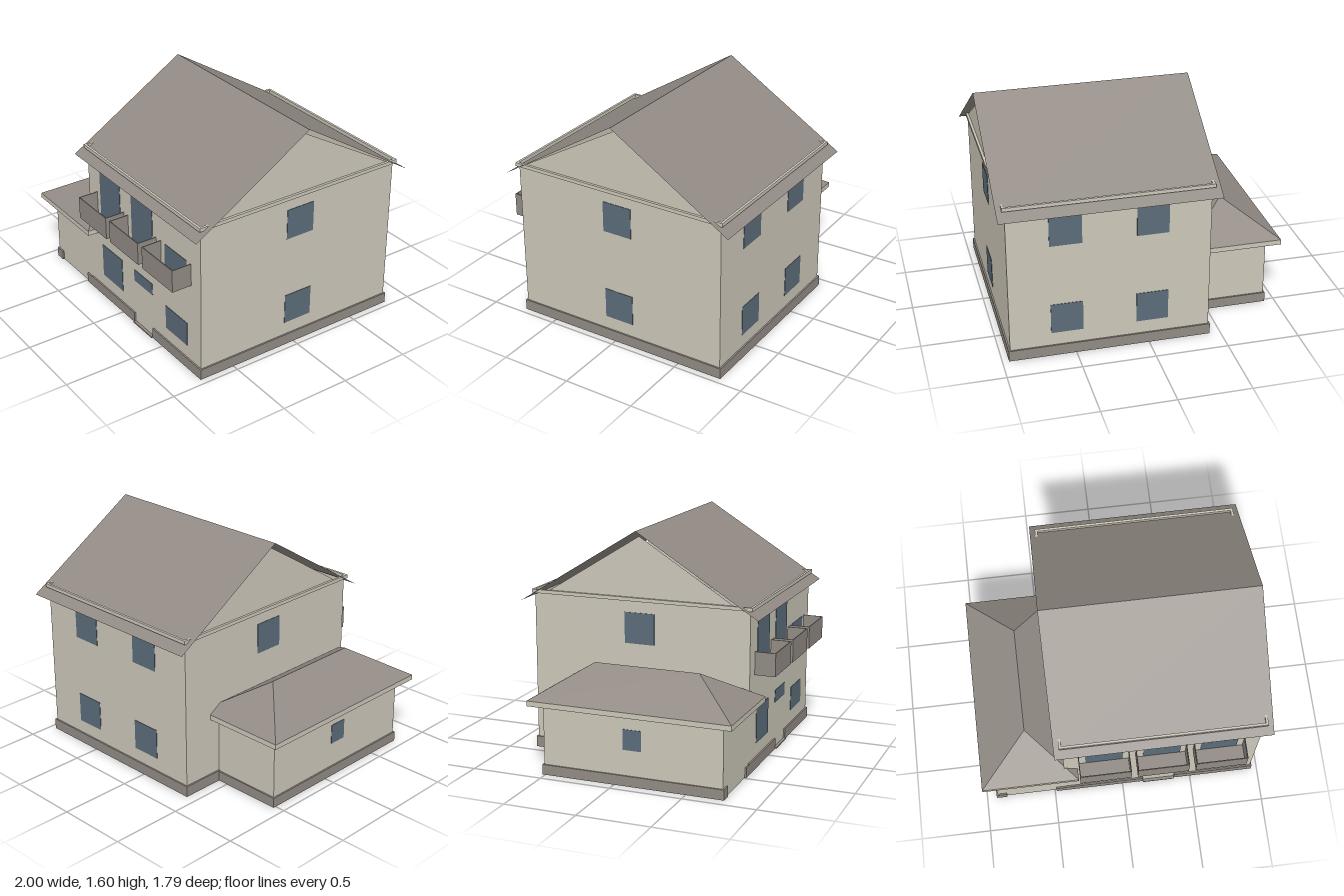
import * as THREE from 'three';

const mat = (name, color, side = THREE.FrontSide) => {
  const m = new THREE.MeshStandardMaterial({ color, side });
  m.name = name;
  return m;
};

export function createModel() {
  const house = new THREE.Group();
  house.name = 'house';
  const plaster = mat('plaster', 0xccc7b9, THREE.DoubleSide);
  const slate = mat('slate', 0x928b85, THREE.DoubleSide);
  const glass = mat('glass', 0x5b6c7a);

  const add = (name, geo, material) => {
    const mesh = new THREE.Mesh(geo, material);
    mesh.name = name;
    house.add(mesh);
    return mesh;
  };
  // Box given by its extents on each axis
  const box = (name, m, x0, x1, y0, y1, z0, z1) => {
    const g = new THREE.BoxGeometry(x1 - x0, y1 - y0, z1 - z0);
    g.translate((x0 + x1) / 2, (y0 + y1) / 2, (z0 + z1) / 2);
    return add(name, g, m);
  };
  // Flat convex polygon, fanned from its first corner
  const sheet = (name, m, pts) => {
    const pos = [];
    for (let i = 1; i < pts.length - 1; i++) pos.push(...pts[0], ...pts[i], ...pts[i + 1]);
    const g = new THREE.BufferGeometry();
    g.setAttribute('position', new THREE.Float32BufferAttribute(pos, 3));
    g.computeVertexNormals();
    return add(name, g, m);
  };
  const wallZ = (name, x0, x1, h, z, flip) => {
    const p = [[x0, 0, z], [x1, 0, z], [x1, h, z], [x0, h, z]];
    return sheet(name, plaster, flip ? p.reverse() : p);
  };
  // Rectangular band, open in the middle
  const ring = (name, m, x0, x1, y0, y1, z0, z1, t) => {
    box(name + 'Front', m, x0, x1, y0, y1, z1 - t, z1);
    box(name + 'Back', m, x0, x1, y0, y1, z0, z0 + t);
    box(name + 'Right', m, x0, x0 + t, y0, y1, z0 + t, z1 - t);
    box(name + 'Left', m, x1 - t, x1, y0, y1, z0 + t, z1 - t);
  };

  // Main walls, with gables on the sides
  const X0 = -0.415, X1 = 0.945, Z0 = -0.812, Z1 = 0.75, ZR = -0.033;
  wallZ('frontWall', X0, X1, 1.105, Z1, false);
  wallZ('backWall', X0, X1, 1.105, Z0, true);
  for (const x of [X0, X1]) {
    const pts = [[x, 0, Z1], [x, 0, Z0], [x, 1.105, Z0], [x, 1.125, ZR - 0.69],
      [x, 1.555, ZR], [x, 1.125, ZR + 0.69], [x, 1.105, Z1]];
    // Fan from the ridge so that the gable triangles stay valid
    const fan = [...pts.slice(4), ...pts.slice(0, 4)];
    sheet('gableWall', plaster, x < 0 ? fan.reverse() : fan);
  }
  ring('cornice', plaster, X0 - 0.018, X1 + 0.018, 1.115, 1.14, Z0 - 0.018, Z1 + 0.018, 0.017);

  // Main roof
  sheet('roofFront', slate, [[-0.47, 1.065, 0.82], [1, 1.065, 0.82], [1, 1.597, -0.037], [-0.47, 1.597, -0.037]]);
  sheet('roofBack', slate, [[1, 1.065, -0.893], [-0.47, 1.065, -0.893], [-0.47, 1.597, -0.037], [1, 1.597, -0.037]]);

  // Side annex
  const GX = -0.918, GZ = -0.51;
  wallZ('annexFrontWall', GX, X0, 0.525, Z1, false);
  wallZ('annexBackWall', GX, X0, 0.525, GZ, true);
  sheet('annexSideWall', plaster, [[GX, 0, GZ], [GX, 0, Z1], [GX, 0.525, Z1], [GX, 0.525, GZ]]);

  // Annex hipped roof and fascia
  const a = [-1, 0.523, 0.83], b = [-0.32, 0.523, 0.83], c = [-0.32, 0.523, -0.59], d = [-1, 0.523, -0.59];
  const r1 = [-0.66, 0.735, 0.49], r2 = [-0.66, 0.735, -0.25];
  sheet('annexRoofFront', slate, [a, b, r1]);
  sheet('annexRoofInner', slate, [b, c, r2, r1]);
  sheet('annexRoofBack', slate, [c, d, r2]);
  sheet('annexRoofOuter', slate, [d, a, r1, r2]);
  ring('annexFascia', plaster, -1, -0.32, 0.487, 0.523, -0.59, 0.83, 0.008);

  // Plinth, left open at the two doors
  const T = 0.011, H = 0.076;
  box('plinthFront', slate, X0 - T, 0.152, 0, H, Z1, Z1 + T);
  box('plinthFront', slate, 0.38, X1 + T, 0, H, Z1, Z1 + T);
  box('plinthSide', slate, X1, X1 + T, 0, H, Z0 - T, Z1);
  box('plinthBack', slate, X0 - T, X1, 0, H, Z0 - T, Z0);
  box('plinthSide', slate, X0 - T, X0, 0, H, Z0, GZ);
  box('annexPlinthFront', slate, -0.488, X0 - T, 0, 0.07, Z1, Z1 + T);
  box('annexPlinthFront', slate, GX - T, -0.853, 0, 0.07, Z1, Z1 + T);
  box('annexPlinthSide', slate, GX - T, GX, 0, 0.07, GZ - T, Z1);
  box('annexPlinthBack', slate, GX, X0 - T, 0, 0.07, GZ - T, GZ);
  box('doorStep', slate, 0.152, 0.38, 0, 0.01, Z1, 0.77);

  // Windows on the front and back: x0, x1, y0, y1
  const P = 0.003;
  for (const [x0, x1, y0, y1] of [
    [-0.263, -0.005, 0.65, 1.035], [0.138, 0.395, 0.65, 1.035], [0.538, 0.79, 0.65, 0.82],
    [-0.263, -0.005, 0.17, 0.42], [0.152, 0.378, 0.34, 0.427], [0.538, 0.79, 0.17, 0.345],
  ]) box('frontWindow', glass, x0, x1, y0, y1, Z1, Z1 + P);
  for (const y of [0.17, 0.82]) {
    for (const x of [-0.13, 0.45]) box('backWindow', glass, x, x + 0.217, y, y + 0.215, Z0 - P, Z0);
    box('leftWindow', glass, X1, X1 + P, y, y + 0.215, -0.14, 0.075);
  }
  box('rightWindow', glass, X0 - P, X0, 0.82, 1.035, -0.14, 0.075);
  box('annexWindow', glass, GX - P, GX, 0.245, 0.385, 0.06, 0.19);

  // Balconies
  for (const x of [-0.312, 0.085, 0.486]) {
    const w = 0.353, t = 0.006;
    box('balconyFront', slate, x, x + w, 0.66, 0.82, 0.893 - t, 0.893);
    box('balconySide', slate, x, x + t, 0.66, 0.82, Z1, 0.893 - t);
    box('balconySide', slate, x + w - t, x + w, 0.66, 0.82, Z1, 0.893 - t);
    box('balconyFloor', slate, x + t, x + w - t, 0.66, 0.666, Z1 + P, 0.893 - t);
  }
  return house;
}
